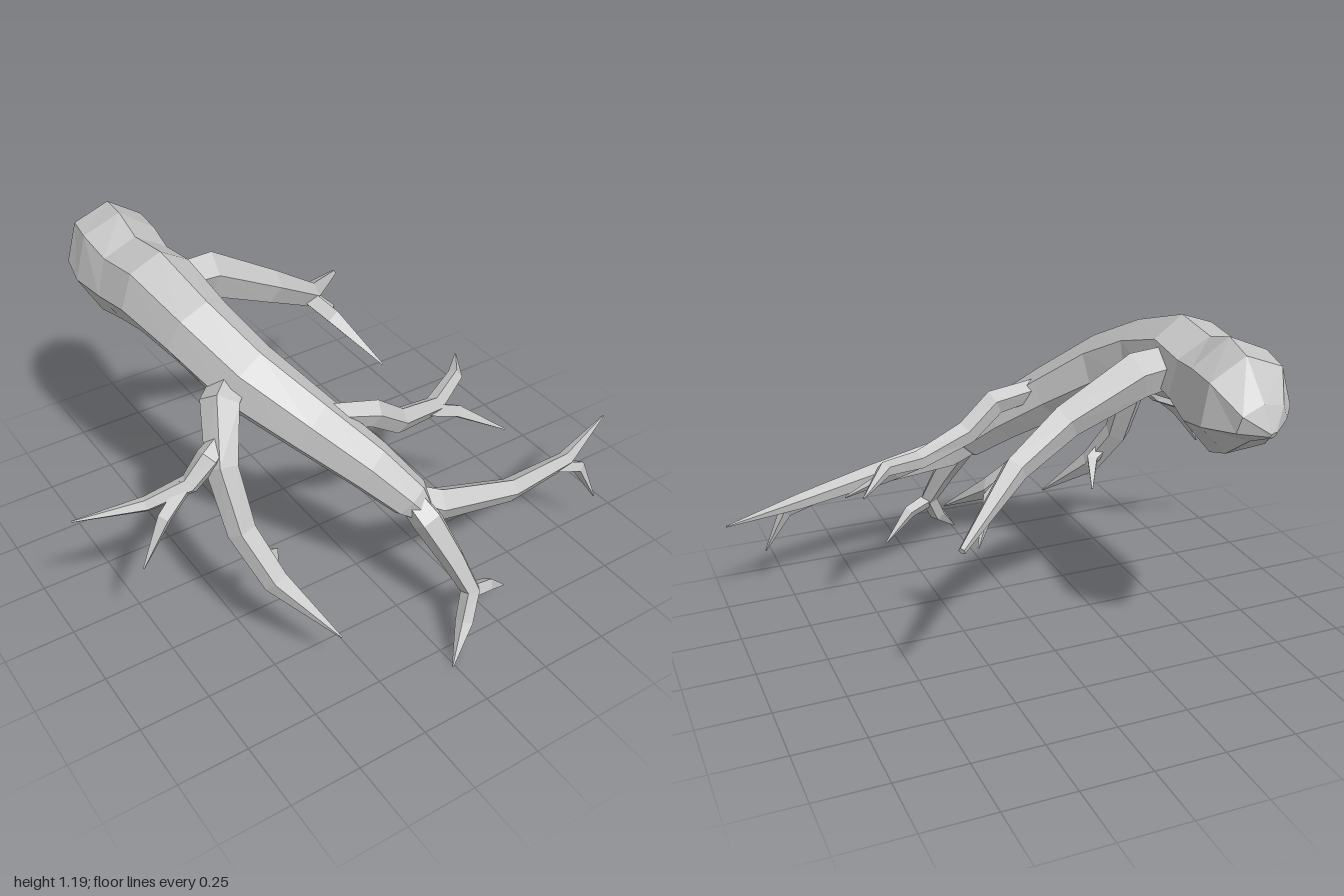
import * as THREE from 'three';

const V = (x, y, z) => new THREE.Vector3(x, y, z);

// Faceted tapering limb. Each station is [x, y, z, radius, height factor];
// the cross-section frame is carried along the path without twisting.
function limbGeometry(stations, sides, phase) {
  const centers = stations.map(s => V(s[0], s[1], s[2]));
  const last = centers.length - 1;
  let ref = V(0, 1, 0);
  const rings = stations.map(([, , , r, k = 1], i) => {
    const ahead = centers[Math.min(i + 1, last)].clone().sub(centers[i]).normalize();
    const behind = centers[i].clone().sub(centers[Math.max(i - 1, 0)]).normalize();
    const t = ahead.add(behind).normalize();
    const u = ref.clone().cross(t).normalize();
    const v = t.clone().cross(u);
    ref = v;
    return Array.from({ length: sides }, (_, j) => {
      const a = phase + (j / sides) * Math.PI * 2;
      return centers[i].clone()
        .addScaledVector(u, r * Math.cos(a))
        .addScaledVector(v, r * k * Math.sin(a));
    });
  });
  const pos = [];
  const tri = (a, b, c) => [a, b, c].forEach(p => pos.push(p.x, p.y, p.z));
  for (let j = 0; j < sides; j++) {
    const n = (j + 1) % sides;
    for (let i = 0; i < last; i++) {
      tri(rings[i][j], rings[i][n], rings[i + 1][n]);
      tri(rings[i][j], rings[i + 1][n], rings[i + 1][j]);
    }
    tri(centers[0], rings[0][n], rings[0][j]);
    tri(centers[last], rings[last][j], rings[last][n]);
  }
  const g = new THREE.BufferGeometry();
  g.setAttribute('position', new THREE.Float32BufferAttribute(pos, 3));
  g.computeVertexNormals();
  return g;
}

export function createModel() {
  const model = new THREE.Group();
  model.name = 'deadBranch';
  const bark = new THREE.MeshStandardMaterial({ color: 0xc6c6c6 });
  bark.name = 'greyBark';

  const add = (name, stations, sides = 5, phase = 0.3) => {
    const mesh = new THREE.Mesh(limbGeometry(stations, sides, phase), bark);
    mesh.name = name;
    model.add(mesh);
  };

  // Main stem, from the thick broken end down to the front fork
  add('trunk', [
    [-0.44, 0.965, -0.835, 0.012],
    [-0.43, 0.99, -0.785, 0.095, 0.75],
    [-0.43, 1.01, -0.69, 0.155, 1.06],
    [-0.445, 1.0, -0.57, 0.162, 1.2],
    [-0.45, 1.01, -0.43, 0.147, 1.02],
    [-0.445, 1.035, -0.28, 0.143, 1.04],
    [-0.415, 0.985, -0.08, 0.127],
    [-0.35, 0.89, 0.11, 0.122],
    [-0.215, 0.755, 0.28, 0.105],
    [-0.085, 0.625, 0.425, 0.09],
    [0.01, 0.515, 0.53, 0.073],
    [0.035, 0.48, 0.565, 0.045],
  ], 7, 1.37);

  // Rear left branch with two twigs
  add('rearBranch', [
    [-0.4, 1.03, -0.31, 0.07], [-0.24, 1.015, -0.325, 0.08], [0, 0.89, -0.315, 0.06],
    [0.19, 0.77, -0.355, 0.045], [0.46, 0.648, -0.602, 0.012],
  ]);
  add('rearBranchFrontTwig', [
    [0.17, 0.78, -0.35, 0.035], [0.25, 0.69, -0.29, 0.035], [0.34, 0.555, -0.09, 0.003],
  ], 4);
  add('rearBranchLowerTwig', [
    [0.19, 0.76, -0.35, 0.03], [0.27, 0.68, -0.35, 0.028], [0.345, 0.555, -0.43, 0.003],
  ], 4);

  // Middle left branch
  add('middleBranch', [
    [-0.18, 0.78, 0.29, 0.04], [0, 0.735, 0.32, 0.048], [0.12, 0.64, 0.3, 0.045],
    [0.32, 0.585, 0.245, 0.035], [0.47, 0.605, 0.165, 0.028], [0.585, 0.575, 0.025, 0.003],
  ]);
  add('middleBranchTwig', [
    [0.28, 0.59, 0.255, 0.03], [0.4, 0.545, 0.27, 0.028], [0.57, 0.44, 0.345, 0.003],
  ], 4);

  // Long front left branch
  add('longBranch', [
    [-0.04, 0.54, 0.5, 0.045], [0.1, 0.465, 0.555, 0.06], [0.4, 0.405, 0.58, 0.042],
    [0.7, 0.368, 0.53, 0.03], [0.99, 0.37, 0.415, 0.003],
  ]);
  add('longBranchTwig', [
    [0.64, 0.37, 0.54, 0.025], [0.75, 0.33, 0.55, 0.026], [0.83, 0.17, 0.572, 0.003],
  ], 4);

  // Front branch reaching the ground
  add('frontBranch', [
    [0, 0.54, 0.52, 0.045], [0.035, 0.46, 0.595, 0.055], [0.09, 0.32, 0.67, 0.044],
    [0.13, 0.2, 0.73, 0.035], [0.085, 0.105, 0.765, 0.032], [-0.01, 0.003, 0.833, 0.003],
  ]);
  add('frontBranchTwig', [
    [0.11, 0.2, 0.73, 0.03], [0.22, 0.16, 0.71, 0.026], [0.335, 0.06, 0.668, 0.003],
  ], 4);

  // Drooping right branch
  add('droopingBranch', [
    [-0.38, 0.89, 0.09, 0.065], [-0.47, 0.86, 0.16, 0.068], [-0.54, 0.72, 0.28, 0.055],
    [-0.53, 0.52, 0.37, 0.05], [-0.475, 0.36, 0.48, 0.045], [-0.34, 0.18, 0.66, 0.003],
  ]);
  add('droopingBranchTwig', [
    [-0.51, 0.44, 0.43, 0.03], [-0.445, 0.4, 0.41, 0.028], [-0.41, 0.31, 0.33, 0.003],
  ], 4);

  // Outer right branch
  add('outerBranch', [
    [-0.53, 0.78, 0.24, 0.035], [-0.58, 0.76, 0.265, 0.042], [-0.65, 0.69, 0.265, 0.034],
    [-0.78, 0.637, 0.22, 0.026], [-1, 0.615, 0.145, 0.003],
  ]);
  add('outerBranchTwig', [
    [-0.66, 0.69, 0.262, 0.028], [-0.75, 0.61, 0.28, 0.026], [-0.845, 0.46, 0.3, 0.003],
  ], 4);

  return model;
}
